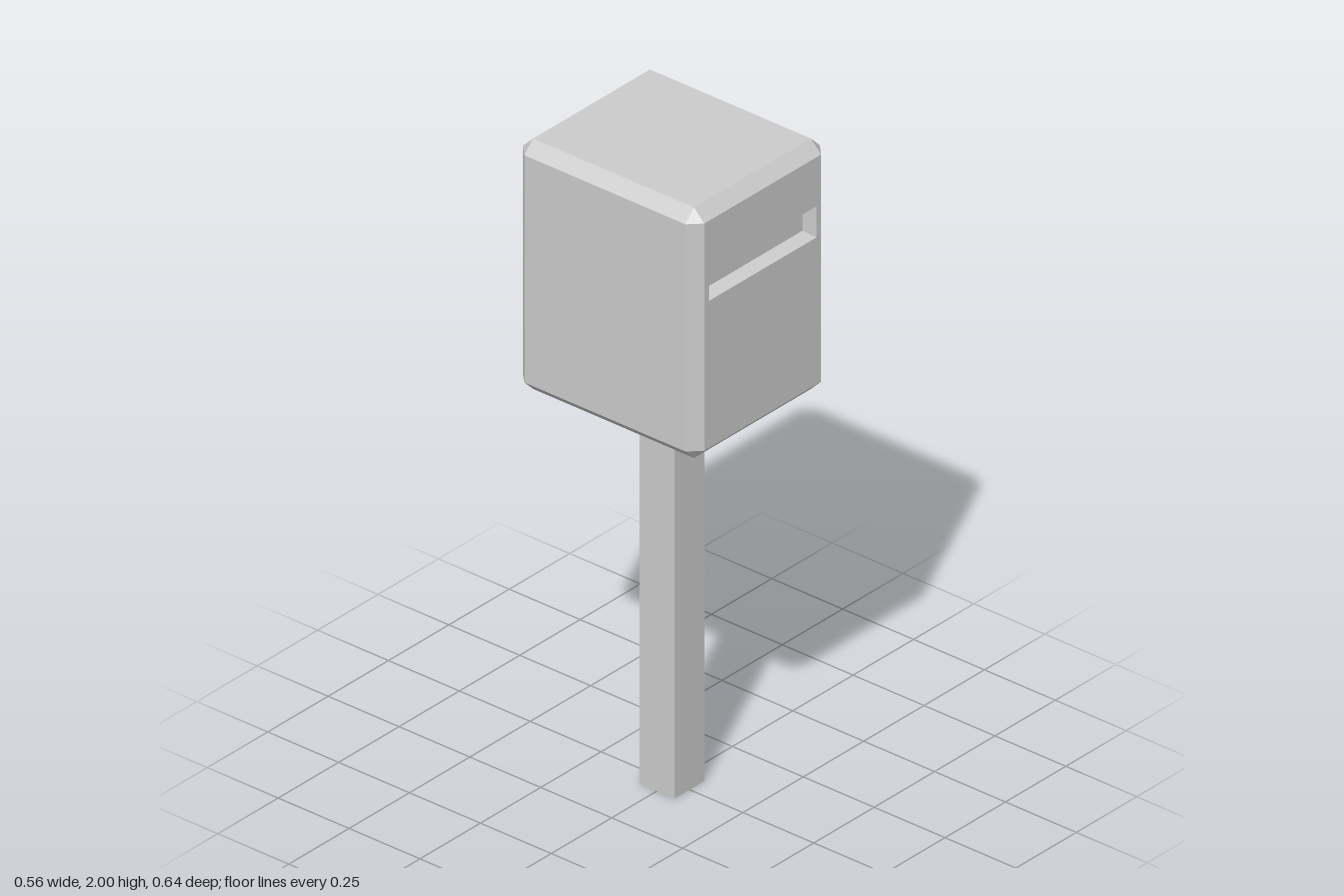
import * as THREE from 'three';

const HALF = [0.278, 0.389, 0.32]; // half size of the box
const BEVEL = 0.036;
const CENTER_Y = 1.611;

// Flat-shaded geometry from convex polygons (counter-clockwise from outside)
function fromPolygons(polygons) {
  const pos = [];
  for (const p of polygons) {
    for (let i = 1; i < p.length - 1; i++) pos.push(...p[0], ...p[i], ...p[i + 1]);
  }
  const geo = new THREE.BufferGeometry();
  geo.setAttribute('position', new THREE.Float32BufferAttribute(pos, 3));
  geo.computeVertexNormals();
  return geo;
}

// Reverse a polygon around the origin if it faces inwards
function outward(p) {
  const [a, b, c] = p.map((v) => new THREE.Vector3(...v));
  const n = b.clone().sub(a).cross(c.clone().sub(a));
  return n.dot(a) < 0 ? p.slice().reverse() : p;
}

// Corner vertex lying on the flat face of the given axis
const corner = (signs, axis) =>
  signs.map((s, i) => s * (i === axis ? HALF[i] : HALF[i] - BEVEL));

// Counter-clockwise rectangle facing +z
const rect = (x, y0, y1, z) => [[-x, y0, z], [x, y0, z], [x, y1, z], [-x, y1, z]];

// Band of quads joining two rectangles
const band = (a, b) => a.map((p, i) => {
  const j = (i + 1) % a.length;
  return [p, a[j], b[j], b[i]];
});

function bevelledBox() {
  const polys = [];
  const S = [-1, 1];
  for (let axis = 0; axis < 3; axis++) {
    const u = (axis + 1) % 3, v = (axis + 2) % 3;
    const signs = (a, b, c) => {
      const s = [0, 0, 0];
      s[axis] = a; s[u] = b; s[v] = c;
      return s;
    };
    // Flat faces, leaving out the slotted front
    for (const s of S) {
      if (axis === 2 && s === 1) continue;
      polys.push(outward([[-1, -1], [1, -1], [1, 1], [-1, 1]]
        .map(([b, c]) => corner(signs(s, b, c), axis))));
    }
    // Bevelled edges running along this axis
    for (const b of S) for (const c of S) {
      polys.push(outward([
        corner(signs(-1, b, c), u), corner(signs(1, b, c), u),
        corner(signs(1, b, c), v), corner(signs(-1, b, c), v),
      ]));
    }
  }
  // Triangular corners
  for (const x of S) for (const y of S) for (const z of S) {
    polys.push(outward([0, 1, 2].map((axis) => corner([x, y, z], axis))));
  }
  // Front face around the slot opening
  const fy = HALF[1] - BEVEL;
  polys.push(...band(rect(HALF[0] - BEVEL, -fy, fy, HALF[2]), slotRect(0, 0)));
  return fromPolygons(polys);
}

// Slot outline, shrunk by inset and pushed back by depth
const slotRect = (inset, depth) =>
  rect(0.223 - inset, 0.104 + inset, 0.201 - inset, HALF[2] - depth);

export function createModel() {
  const group = new THREE.Group();
  const material = new THREE.MeshStandardMaterial({
    color: 0xcccccc, flatShading: true, side: THREE.DoubleSide,
  });
  const add = (name, geometry, y) => {
    const mesh = new THREE.Mesh(geometry, material);
    mesh.name = name;
    mesh.position.y = y;
    group.add(mesh);
  };

  // Square post, open at the ends
  const postHeight = CENTER_Y - HALF[1];
  const post = new THREE.CylinderGeometry(
    0.062 * Math.SQRT2, 0.062 * Math.SQRT2, postHeight, 4, 1, true);
  post.rotateY(Math.PI / 4);
  add('post', post, postHeight / 2);

  // Bevelled letter box
  add('box', bevelledBox(), CENTER_Y);

  // Recessed letter slot with slightly tapered walls
  const back = slotRect(0.006, 0.045);
  add('letterSlot', fromPolygons([...band(slotRect(0, 0), back), back]), CENTER_Y);

  return group;
}
